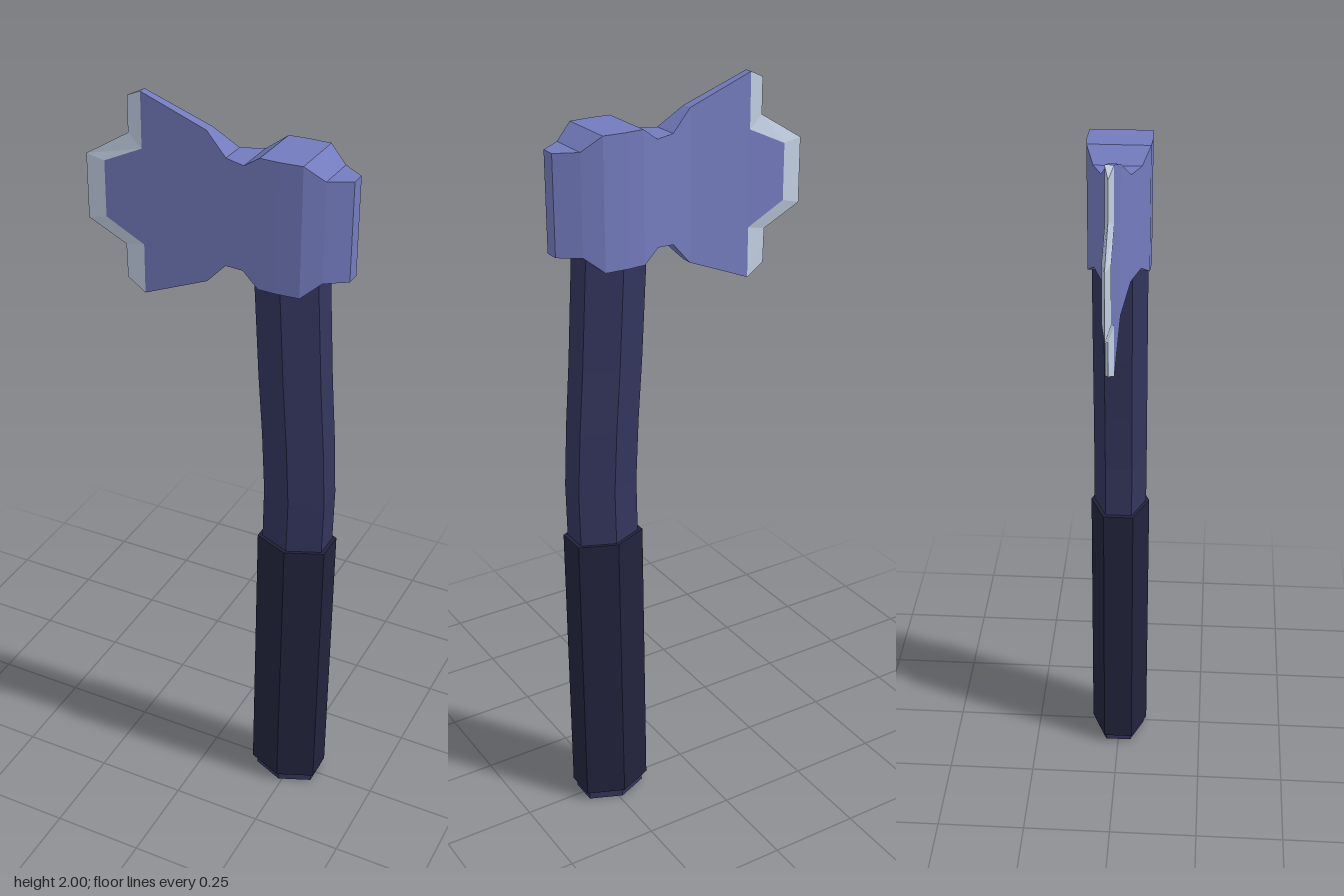
import * as THREE from 'three';

// Collects flat polygons (as fans) into one faceted geometry
function facets(polys) {
  const pos = [];
  for (const p of polys) {
    for (let i = 1; i < p.length - 1; i++) pos.push(...p[0], ...p[i], ...p[i + 1]);
  }
  const g = new THREE.BufferGeometry();
  g.setAttribute('position', new THREE.Float32BufferAttribute(pos, 3));
  g.computeVertexNormals();
  return g;
}

// Skins a row of closed rings and caps both ends
function loft(rings) {
  const polys = [rings[0], [...rings[rings.length - 1]].reverse()];
  for (let i = 0; i < rings.length - 1; i++) {
    const a = rings[i], b = rings[i + 1];
    a.forEach((_, j) => {
      const k = (j + 1) % a.length;
      polys.push([a[j], b[j], b[k], a[k]]);
    });
  }
  return facets(polys);
}

// Hexagonal ring with one corner facing the front
function hexRing(cx, y, rx, rz) {
  return Array.from({ length: 6 }, (_, i) => {
    const a = -i * Math.PI / 3;
    return [cx + rx * Math.sin(a) / Math.sin(Math.PI / 3), y, rz * Math.cos(a)];
  });
}

function part(name, geometry, color) {
  const mesh = new THREE.Mesh(geometry, new THREE.MeshStandardMaterial({ color, flatShading: true }));
  mesh.name = name;
  return mesh;
}

export function createModel() {
  const axe = new THREE.Group();
  axe.name = 'axe';

  // Curved shaft: [centre x, y]
  const path = [[0.24, 0], [0.242, 0.83], [0.244, 0.98], [0.235, 1.15], [0.222, 1.32], [0.206, 1.59], [0.2, 1.75]];
  axe.add(part('handle', loft(path.map(([x, y]) => hexRing(x, y, 0.086, 0.074))), 0x33355c));

  // Thicker sleeve around the lower shaft
  axe.add(part('grip', loft([hexRing(0.238, 0.025, 0.097, 0.083), hexRing(0.241, 0.83, 0.097, 0.083)]), 0x22233c));

  // Head sections: [x, top, bottom, half thickness]; the double station makes the blade's step
  const stations = [
    [-0.307, 1.805, 1.655, 0.011], [-0.2, 1.855, 1.6, 0.011], [-0.2, 2.0, 1.465, 0.011],
    [-0.02, 1.935, 1.54, 0.015], [0.042, 1.885, 1.605, 0.037], [0.1, 1.885, 1.615, 0.06],
    [0.15, 1.92, 1.585, 0.08], [0.2, 1.92, 1.585, 0.083], [0.26, 1.92, 1.585, 0.08],
    [0.308, 1.883, 1.625, 0.057], [0.363, 1.88, 1.625, 0.02],
  ];
  axe.add(part('head', loft(stations.map(([x, t, b, z]) =>
    [[x, t, z], [x, t, -z], [x, b, -z], [x, b, z]])), 0x737bbd));

  // Sharpened bevel from the blade body out to the cutting edge
  const inner = [[-0.2, 2.0], [-0.2, 1.855], [-0.307, 1.805], [-0.307, 1.655], [-0.2, 1.6], [-0.2, 1.465]];
  const outer = [[-0.243, 1.98], [-0.243, 1.885], [-0.365, 1.81], [-0.365, 1.637], [-0.258, 1.585], [-0.256, 1.493]];
  const edge = [];
  const at = (p, z) => [p[0], p[1], z];
  const last = inner.length - 1, half = 0.011;
  for (let i = 0; i < last; i++) {
    for (const z of [half, -half]) {
      const q = [at(inner[i], z), at(outer[i], 0), at(outer[i + 1], 0), at(inner[i + 1], z)];
      edge.push(z > 0 ? q : q.reverse());
    }
  }
  edge.push([at(inner[0], half), at(inner[0], -half), at(outer[0], 0)]);
  edge.push([at(inner[last], -half), at(inner[last], half), at(outer[last], 0)]);
  axe.add(part('cuttingEdge', facets(edge), 0xc0cde0));

  return axe;
}
